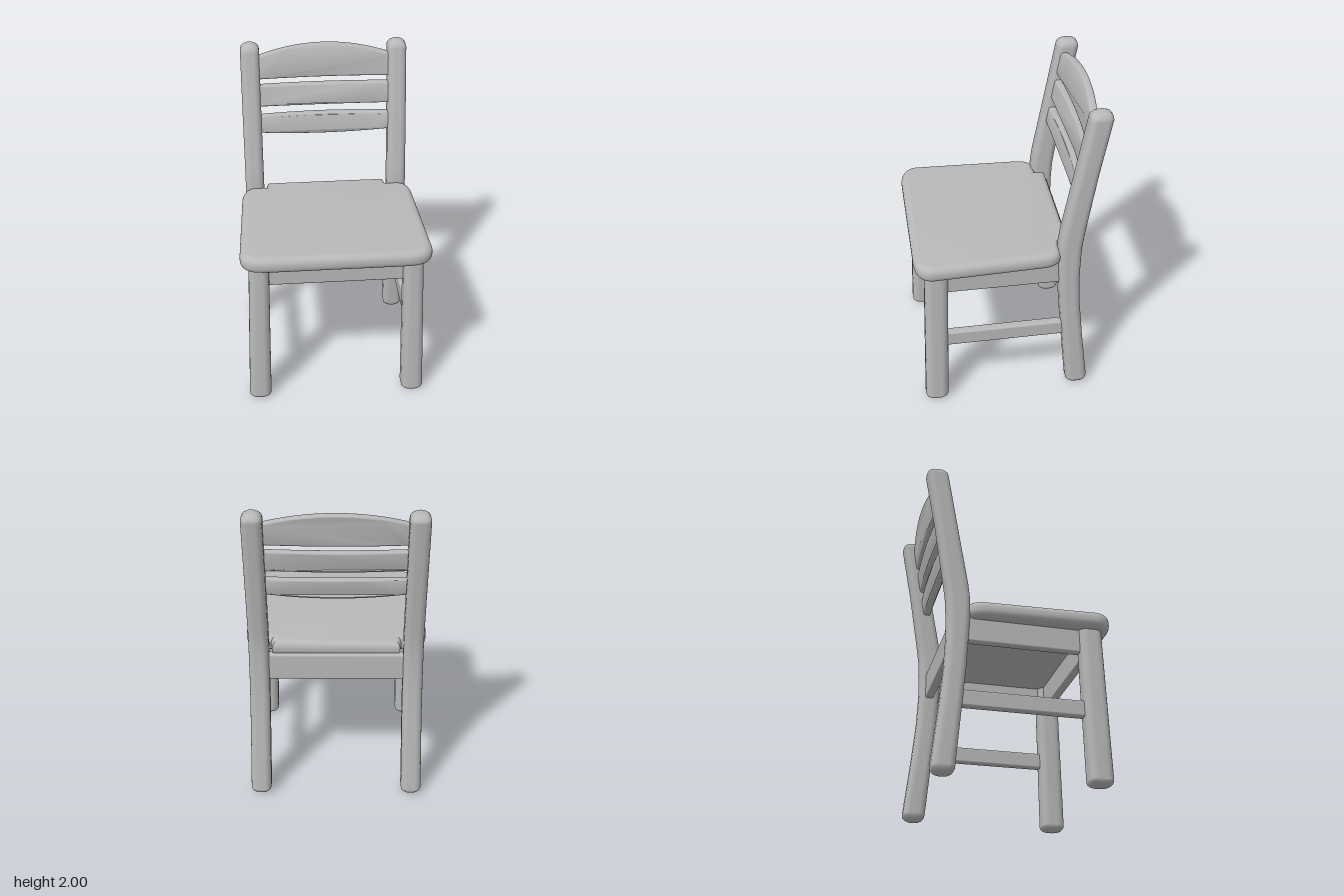
import * as THREE from 'three';
import { RoundedBoxGeometry } from 'three/addons/geometries/RoundedBoxGeometry.js';
import { toCreasedNormals } from 'three/addons/utils/BufferGeometryUtils.js';

const wood = new THREE.MeshStandardMaterial({ color: 0xb8b8b8 });
wood.name = 'paintedGrey';

function add(group, name, geometry) {
  const mesh = new THREE.Mesh(geometry, wood);
  mesh.name = name;
  group.add(mesh);
  return mesh;
}

// Rounded-rectangle post lofted through sections [y, x, z, width, depth], with rounded ends
function post(keys, corner, r) {
  const first = keys[0], last = keys[keys.length - 1], rings = [];
  const end = (key, k, dir) => {
    const a = (k / 4) * Math.PI / 2, inset = r * (1 - Math.sin(a));
    rings.push([key[0] + dir * r * (1 - Math.cos(a)), key[1], key[2], key[3] - 2 * inset, key[4] - 2 * inset]);
  };
  for (let k = 0; k <= 4; k++) end(first, k, 1);
  rings.push(...keys.slice(1, -1));
  for (let k = 4; k >= 0; k--) end(last, k, -1);

  const pos = [], idx = [], steps = 5, n = 4 * (steps + 1);
  for (const [y, x, z, w, d] of rings) {
    const c = Math.min(corner, w / 2.1, d / 2.1);
    for (let q = 0; q < 4; q++) {
      const sx = q === 0 || q === 3 ? 1 : -1, sz = q < 2 ? 1 : -1;
      for (let s = 0; s <= steps; s++) {
        const t = (q + s / steps) * Math.PI / 2;
        pos.push(x + sx * (w / 2 - c) + c * Math.cos(t), y, z + sz * (d / 2 - c) + c * Math.sin(t));
      }
    }
  }
  for (let i = 0; i < rings.length - 1; i++) {
    for (let j = 0; j < n; j++) {
      const a = i * n + j, b = i * n + (j + 1) % n;
      idx.push(a, a + n, b, b, a + n, b + n);
    }
  }
  // End caps
  const bottom = pos.length / 3, top = bottom + 1, base = (rings.length - 1) * n;
  pos.push(first[1], first[0], first[2], last[1], last[0], last[2]);
  for (let j = 0; j < n; j++) {
    const k = (j + 1) % n;
    idx.push(bottom, j, k, top, base + k, base + j);
  }
  const g = new THREE.BufferGeometry();
  g.setAttribute('position', new THREE.Float32BufferAttribute(pos, 3));
  g.setIndex(idx);
  g.computeVertexNormals();
  return g;
}

// Seat outline: wider at the front, notched around the back posts
function seatGeometry() {
  const b = 0.045, s = new THREE.Shape();
  s.moveTo(-0.35, 0.38 - b);
  s.lineTo(0.35, 0.38 - b);
  s.lineTo(0.36, 0.32 - b);
  s.lineTo(0.46, 0.32 - b);
  s.quadraticCurveTo(0.505, 0.28, 0.51, 0.2);
  s.lineTo(0.535, -0.46);
  s.bezierCurveTo(0.535, -0.51, 0.5, -0.53, 0.42, -0.532);
  s.lineTo(-0.42, -0.532);
  s.bezierCurveTo(-0.5, -0.53, -0.535, -0.51, -0.535, -0.46);
  s.lineTo(-0.51, 0.2);
  s.quadraticCurveTo(-0.505, 0.28, -0.46, 0.32 - b);
  s.lineTo(-0.36, 0.32 - b);
  s.closePath();
  const g = new THREE.ExtrudeGeometry(s, {
    depth: 0.015, bevelSize: b, bevelThickness: b, bevelSegments: 6, curveSegments: 10,
  });
  g.rotateX(-Math.PI / 2);
  g.translate(0, 0.975 + b, 0);
  return toCreasedNormals(g, 0.7);
}

// Back slat, leaning with the posts and bowed backwards
function slatGeometry(bottomEnd, bottomMid, topEnd, topMid) {
  const half = 0.43, n = 20, b = 0.014, pts = [];
  const edge = (end, mid, u) => mid + (end - mid) * u * u;
  for (let i = 0; i <= n; i++) {
    const u = i / n * 2 - 1;
    pts.push(new THREE.Vector2(u * half, edge(bottomEnd, bottomMid, u) + b));
  }
  for (let i = n; i >= 0; i--) {
    const u = i / n * 2 - 1;
    pts.push(new THREE.Vector2(u * half, edge(topEnd, topMid, u) - b));
  }
  const g = new THREE.ExtrudeGeometry(new THREE.Shape(pts), {
    depth: 0.02, bevelSize: b, bevelThickness: b, bevelSegments: 4,
  });
  const p = g.attributes.position;
  for (let i = 0; i < p.count; i++) {
    const u = p.getX(i) / half;
    const lean = -0.425 - 0.172 * (p.getY(i) - 1.5);
    p.setZ(i, p.getZ(i) - 0.01 + lean + 0.018 * (u * u - 0.5));
  }
  return toCreasedNormals(g, 0.7);
}

// Rail filling the box between two corners
function rail(x0, x1, y0, y1, z0, z1) {
  const g = new RoundedBoxGeometry(x1 - x0, y1 - y0, z1 - z0, 3, 0.012);
  g.translate((x0 + x1) / 2, (y0 + y1) / 2, (z0 + z1) / 2);
  return g;
}

export function createModel() {
  const chair = new THREE.Group();
  chair.name = 'chair';

  add(chair, 'seat', seatGeometry());

  for (const [side, s] of [['left', 1], ['right', -1]]) {
    // Legs
    add(chair, side + 'FrontLeg', post([
      [0, s * 0.489, 0.472, 0.138, 0.145],
      [1.02, s * 0.468, 0.445, 0.122, 0.142],
    ], 0.045, 0.03));
    add(chair, side + 'BackPost', post([
      [0, s * 0.482, -0.442, 0.128, 0.138],
      [0.4, s * 0.476, -0.405, 0.125, 0.13],
      [0.65, s * 0.472, -0.381, 0.124, 0.128],
      [0.85, s * 0.47, -0.37, 0.123, 0.13],
      [1.0, s * 0.469, -0.367, 0.122, 0.14],
      [1.1, s * 0.468, -0.37, 0.121, 0.144],
      [1.2, s * 0.468, -0.383, 0.12, 0.145],
      [1.6, s * 0.468, -0.45, 0.12, 0.134],
      [2, s * 0.467, -0.514, 0.12, 0.136],
    ], 0.04, 0.045));

    // Side rails
    const inner = s * 0.44, outer = s * 0.495;
    const x0 = Math.min(inner, outer), x1 = Math.max(inner, outer);
    add(chair, side + 'Apron', rail(x0, x1, 0.83, 1.0, -0.36, 0.44));
    add(chair, side + 'Stretcher', rail(x0 + s * 0.012, x1 + s * 0.012, 0.415, 0.515, -0.39, 0.45));
  }

  // Front and back aprons
  add(chair, 'frontApron', rail(-0.46, 0.46, 0.825, 1.0, 0.41, 0.465));
  add(chair, 'backApron', rail(-0.46, 0.46, 0.825, 1.0, -0.4, -0.345));

  // Backrest
  add(chair, 'lowerSlat', slatGeometry(1.435, 1.412, 1.545, 1.55));
  add(chair, 'middleSlat', slatGeometry(1.605, 1.6, 1.74, 1.74));
  add(chair, 'topSlat', slatGeometry(1.78, 1.78, 1.92, 1.99));

  return chair;
}
